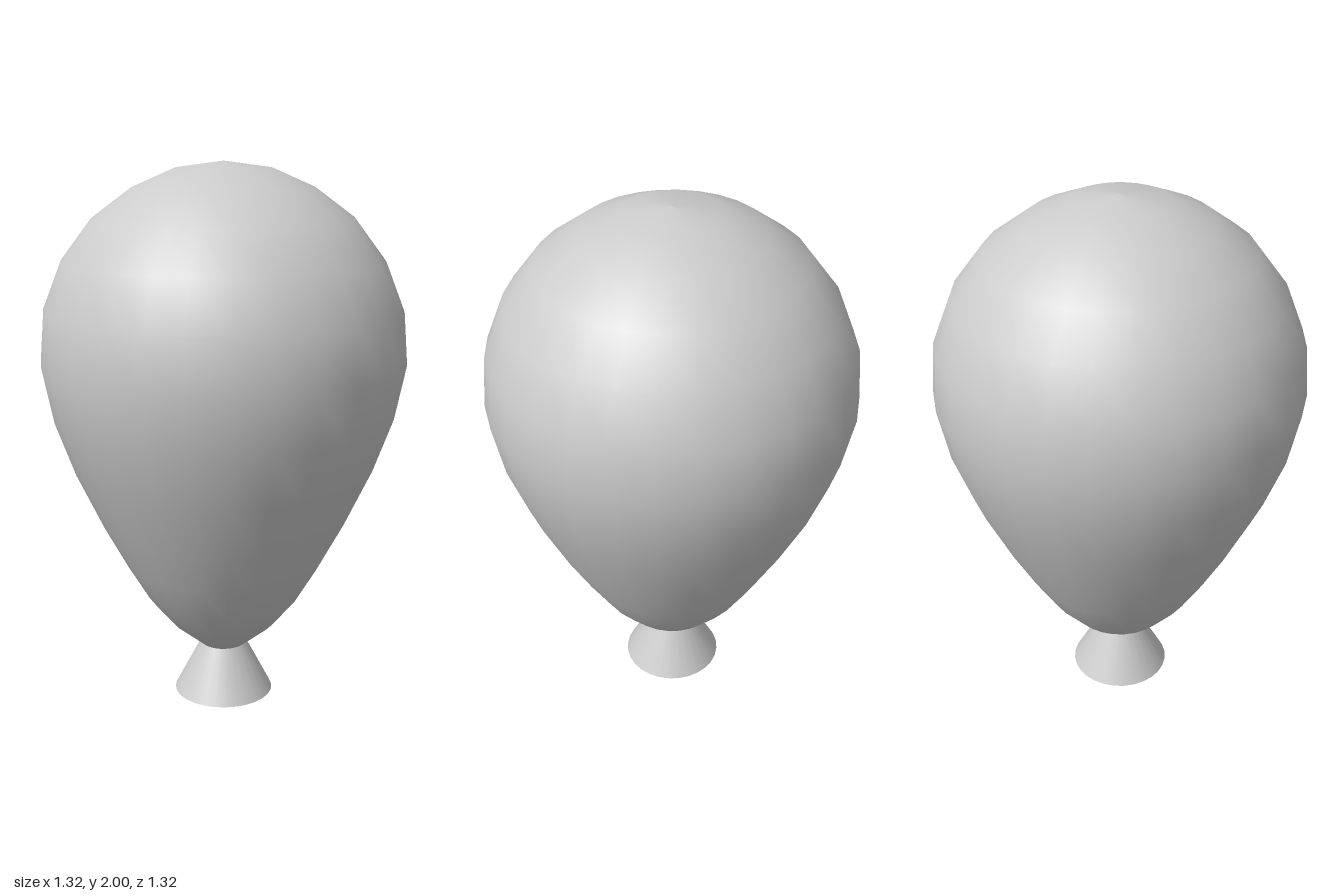
import * as THREE from 'three';

const SIDES = 28;
const NECK_Y = 0.193;
const NECK_R = 0.087;

export function createModel() {
  const group = new THREE.Group();
  const material = new THREE.MeshStandardMaterial({ color: 0xcccccc, side: THREE.DoubleSide });
  const add = (name, geometry) => {
    const mesh = new THREE.Mesh(geometry, material);
    mesh.name = name;
    group.add(mesh);
    return mesh;
  };

  // Teardrop body, profile from the neck up to the crown
  const profile = [
    [NECK_R, NECK_Y], [0.195, 0.283], [0.287, 0.395], [0.368, 0.532], [0.453, 0.692],
    [0.55, 0.9], [0.621, 1.098], [0.66, 1.297], [0.644, 1.487], [0.575, 1.66],
    [0.465, 1.805], [0.323, 1.91], [0.17, 1.977], [0, 2],
  ].map(([r, y]) => new THREE.Vector2(r, y));
  add('balloonBody', new THREE.LatheGeometry(profile, SIDES));

  // Disc closing the body above the flared neck
  const seal = add('neckSeal', new THREE.CircleGeometry(NECK_R, SIDES));
  seal.rotation.x = Math.PI / 2;
  seal.position.y = NECK_Y;

  // Open flared neck
  const neck = add('neck', new THREE.CylinderGeometry(NECK_R, 0.187, NECK_Y, SIDES, 1, true));
  neck.position.y = NECK_Y / 2;

  return group;
}
